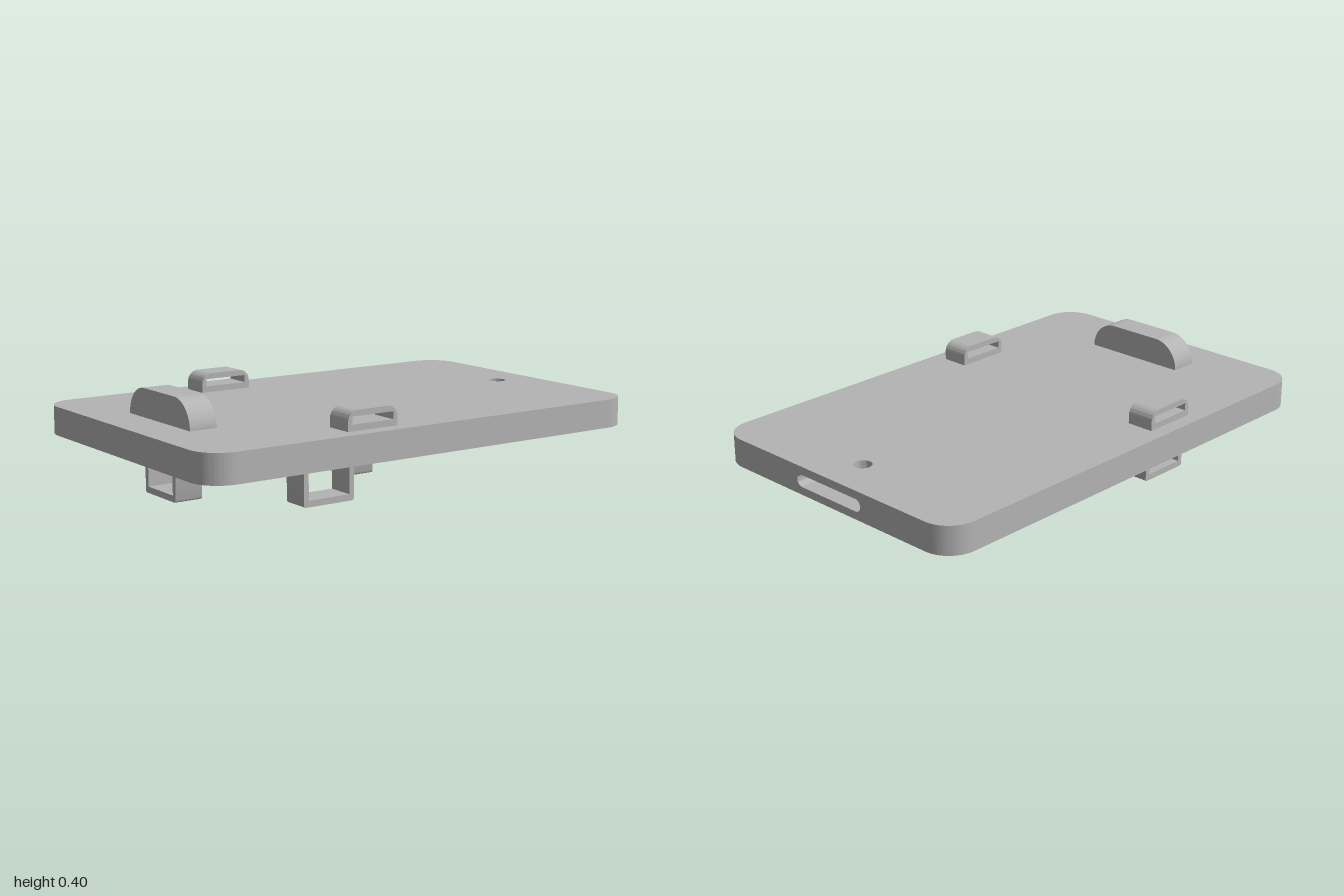
import * as THREE from 'three';
import { toCreasedNormals } from 'three/addons/utils/BufferGeometryUtils.js';

const W = 0.63, L = 1, R = 0.12;          // plate half width, half length, corner radius
const Y = [0.175, 0.207, 0.257, 0.29];    // plate layer heights
const SLOT = 0.175, SLOT_H = 0.025, SLOT_END = -0.7;

const grey = new THREE.MeshStandardMaterial({ color: 0xb4b4b4 });
grey.name = 'grey plastic';

function extrude(name, shape, depth) {
  const geo = new THREE.ExtrudeGeometry(shape, { depth, bevelEnabled: false, curveSegments: 16 });
  const mesh = new THREE.Mesh(toCreasedNormals(geo, 0.5), grey);
  mesh.name = name;
  return mesh;
}

function rectPath(x0, y0, x1, y1) {
  const p = new THREE.Path();
  p.moveTo(x0, y0).lineTo(x0, y1).lineTo(x1, y1).lineTo(x1, y0).closePath();
  return p;
}

function circlePath(x, y, r) {
  return new THREE.Path().absarc(x, y, r, 0, Math.PI * 2, true);
}

// Rectangle with separate radii for the bottom and top corners
function roundedRect(x0, y0, x1, y1, rb, rt) {
  const s = new THREE.Shape(), q = Math.PI / 2;
  const corner = (x, y, r, a) => (r > 0 ? s.absarc(x, y, r, a, a + q, false) : s.lineTo(x, y));
  s.moveTo(x0 + rb, y0);
  corner(x1 - rb, y0 + rb, rb, -q);
  corner(x1 - rt, y1 - rt, rt, 0);
  corner(x0 + rt, y1 - rt, rt, q);
  corner(x0 + rb, y0 + rb, rb, 2 * q);
  return s;
}

// Plate outline; shape y is -z. A notch opens the back edge for the slot.
function plateShape(notch) {
  const s = new THREE.Shape(), q = Math.PI / 2;
  s.moveTo(-W + R, -L);
  s.absarc(W - R, -L + R, R, -q, 0, false);
  s.absarc(W - R, L - R, R, 0, q, false);
  if (notch) {
    s.lineTo(SLOT, L);
    s.lineTo(SLOT, -SLOT_END);
    s.lineTo(-SLOT, -SLOT_END);
    s.lineTo(-SLOT, L);
  }
  s.absarc(-W + R, L - R, R, q, 2 * q, false);
  s.absarc(-W + R, -L + R, R, 2 * q, 3 * q, false);
  return s;
}

function createPlate() {
  const plate = new THREE.Group();
  plate.name = 'plate';
  // Underside has a rectangular pocket and a small blind hole
  const lower = plateShape(false);
  lower.holes.push(rectPath(-0.17, 0.31, 0.17, 0.51), circlePath(0, -0.375, 0.022));
  const middle = plateShape(true);
  middle.holes.push(circlePath(0, -0.375, 0.022));
  // Round hole in the top opens into the slot
  const upper = plateShape(false);
  upper.holes.push(circlePath(0, 0.83, 0.036));
  [['lowerLayer', lower], ['middleLayer', middle], ['upperLayer', upper]].forEach(([name, shape], i) => {
    const m = extrude(name, shape, Y[i + 1] - Y[i]);
    m.rotation.x = -Math.PI / 2;
    m.position.y = Y[i];
    plate.add(m);
  });
  // Rounded ends of the back slot
  for (const side of [0, 1]) {
    const s = new THREE.Shape();
    const c = SLOT - SLOT_H;
    s.moveTo(SLOT, -SLOT_H).lineTo(SLOT, SLOT_H).lineTo(c, SLOT_H);
    s.absarc(c, 0, SLOT_H, Math.PI / 2, -Math.PI / 2, true);
    const end = extrude('slotEnd', s, SLOT_END + L);
    end.rotation.z = side * Math.PI;
    end.position.set(0, (Y[1] + Y[2]) / 2, -L);
    plate.add(end);
  }
  return plate;
}

export function createModel() {
  const model = new THREE.Group();
  model.name = 'mountingPlate';
  model.add(createPlate());

  const D = 0.114; // depth shared by loops, clips and tab

  // Four square strap loops underneath, in a cross around the blind hole
  const spots = [[0, 0.773, 0], [0, -0.023, 0], [0.398, 0.373, 1], [-0.398, 0.373, 1]];
  for (const [x, z, turned] of spots) {
    const shape = roundedRect(-0.113, 0, 0.113, Y[0], 0.01, 0);
    shape.holes.push(rectPath(-0.092, 0.025, 0.092, 0.152));
    const loop = extrude('lowerLoop', shape, D);
    loop.geometry.translate(0, 0, -D / 2);
    loop.rotation.y = turned * Math.PI / 2;
    loop.position.set(x, 0, z);
    model.add(loop);
  }

  // Low rounded clips on top, one per side
  for (const side of [-1, 1]) {
    const shape = roundedRect(-0.113, 0, 0.113, 0.078, 0, 0.045);
    shape.holes.push(rectPath(-0.093, 0.025, 0.093, 0.055));
    const clip = extrude('upperClip', shape, D);
    clip.geometry.translate(0, 0, -D / 2);
    clip.rotation.y = Math.PI / 2;
    clip.position.set(side * 0.512, Y[3], 0.257);
    model.add(clip);
  }

  // Solid rounded stop tab near the front
  const tab = extrude('stopTab', roundedRect(-0.226, 0, 0.226, 0.113, 0, 0.112), D);
  tab.position.set(0, Y[3], 0.773 - D / 2);
  model.add(tab);

  return model;
}
